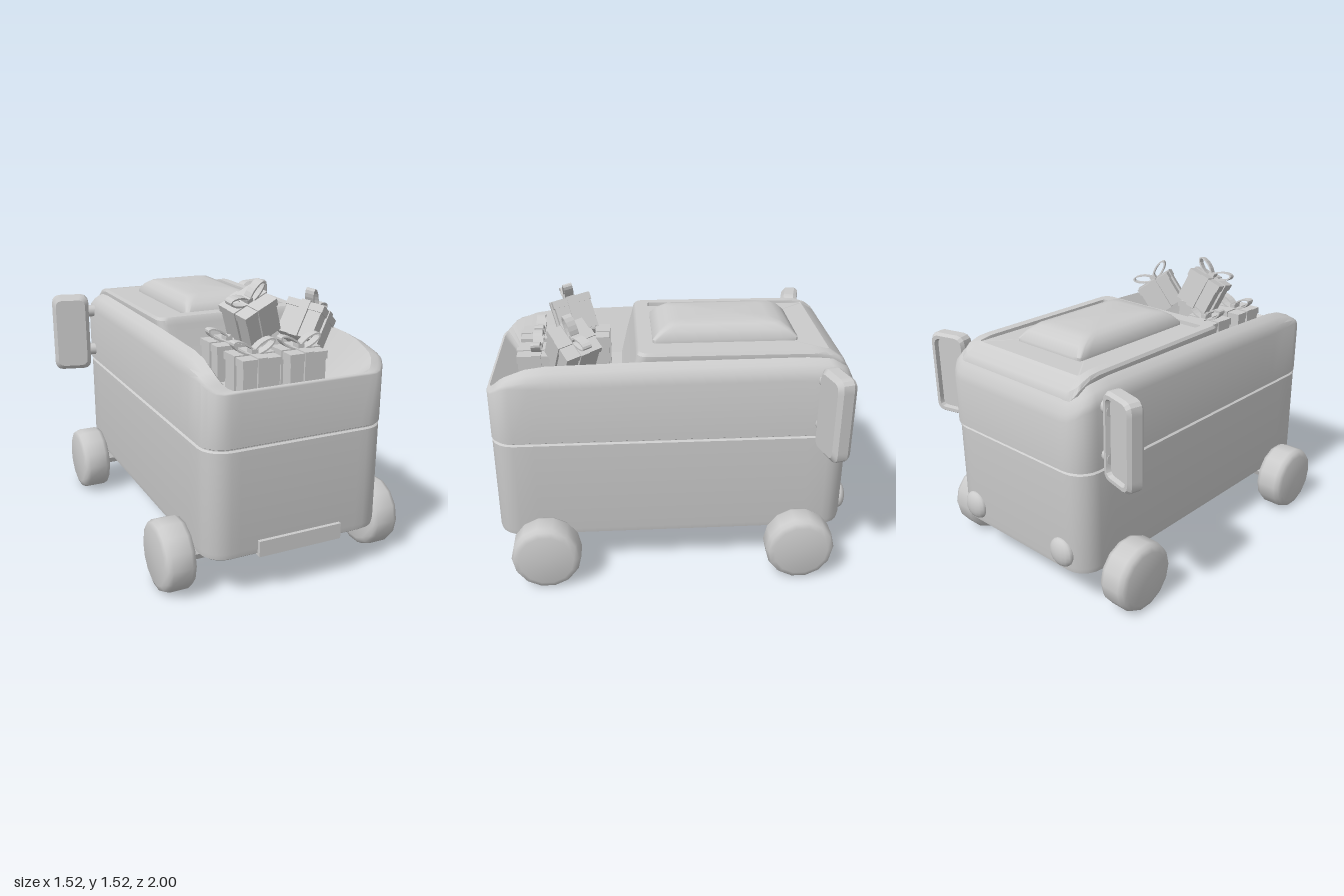
import * as THREE from 'three';
import { toCreasedNormals } from 'three/addons/utils/BufferGeometryUtils.js';

const material = new THREE.MeshStandardMaterial({ color: 0xcccccc, side: THREE.DoubleSide });

function add(parent, name, geometry, x = 0, y = 0, z = 0) {
  const mesh = new THREE.Mesh(geometry, material);
  mesh.name = name;
  mesh.position.set(x, y, z);
  parent.add(mesh);
  return mesh;
}

// Rounded rectangle in plan; y is a number or a function of z
function ring(hx, z0, z1, r, y, seg = 5) {
  const corners = [[hx - r, z1 - r], [r - hx, z1 - r], [r - hx, z0 + r], [hx - r, z0 + r]];
  const arcs = corners.map(([cx, cz], c) => Array.from({ length: seg + 1 }, (_, i) => {
    const a = (c + i / seg) * Math.PI / 2;
    return [cx + r * Math.cos(a), cz + r * Math.sin(a)];
  }));
  const flat = [];
  const side = 16;
  arcs.forEach((arc, c) => {
    flat.push(...arc);
    const p = arc[seg], q = arcs[(c + 1) % 4][0];
    for (let i = 1; i < side; i++) {
      const t = i / side;
      flat.push([p[0] + (q[0] - p[0]) * t, p[1] + (q[1] - p[1]) * t]);
    }
  });
  return flat.map(([x, z]) => [x, typeof y === 'function' ? y(z) : y, z]);
}

// Skin a stack of rings and close both ends
function loft(rings, crease = 0.55) {
  const n = rings[0].length, last = (rings.length - 1) * n;
  const points = rings.flat(), index = [];
  const middle = (r) => [0, 1, 2].map((k) => r.reduce((s, p) => s + p[k], 0) / n);
  points.push(middle(rings[0]), middle(rings[rings.length - 1]));
  for (let j = 0; j < rings.length - 1; j++) {
    for (let i = 0; i < n; i++) {
      const a = j * n + i, b = j * n + (i + 1) % n;
      index.push(a, a + n, b, b, a + n, b + n);
    }
  }
  for (let i = 0; i < n; i++) {
    const k = (i + 1) % n;
    index.push(points.length - 2, i, k, points.length - 1, last + k, last + i);
  }
  const g = new THREE.BufferGeometry();
  g.setAttribute('position', new THREE.Float32BufferAttribute(points.flat(), 3));
  g.setIndex(index);
  return toCreasedNormals(g, crease);
}

// Height along the length, interpolated between [z, y] pairs
const along = (pairs) => (z) => {
  const i = pairs.findIndex((p) => p[0] >= z);
  if (i < 0) return pairs[pairs.length - 1][1];
  if (i === 0) return pairs[0][1];
  const [a, b] = [pairs[i - 1], pairs[i]];
  return a[1] + (b[1] - a[1]) * (z - a[0]) / (b[0] - a[0]);
};

// Wrapped box with crossing ribbons and a two-loop bow
function gift(w, h) {
  const g = new THREE.Group();
  g.name = 'gift';
  add(g, 'giftBox', new THREE.BoxGeometry(w, h, w));
  add(g, 'giftLid', new THREE.BoxGeometry(w + 0.012, 0.04, w + 0.012), 0, h / 2 - 0.02);
  add(g, 'ribbon', new THREE.BoxGeometry(0.05, h + 0.012, w + 0.024));
  add(g, 'ribbon', new THREE.BoxGeometry(w + 0.024, h + 0.012, 0.05));
  const loop = new THREE.Shape().absellipse(0.065, 0, 0.065, 0.027, 0, Math.PI * 2);
  loop.holes.push(new THREE.Path().absellipse(0.065, 0, 0.056, 0.018, 0, Math.PI * 2, true));
  const bow = new THREE.ExtrudeGeometry(loop, { depth: 0.05, bevelEnabled: false, curveSegments: 8 });
  bow.translate(0, 0, -0.025);
  for (const angle of [0.5, Math.PI - 0.5]) {
    add(g, 'bowLoop', bow, 0, h / 2 + 0.005).rotation.z = angle;
  }
  add(g, 'bowKnot', new THREE.BoxGeometry(0.035, 0.025, 0.055), 0, h / 2 + 0.015);
  return g;
}

export function createModel() {
  const model = new THREE.Group();
  model.name = 'giftCart';

  // Lower body with a groove under the upper body
  add(model, 'lowerBody', loft([
    ring(0.48, -0.935, 0.955, 0.1, 0.228),
    ring(0.5, -0.955, 0.975, 0.12, 0.242),
    ring(0.505, -0.96, 0.98, 0.125, 0.27),
    ring(0.505, -0.96, 0.98, 0.125, 0.802),
    ring(0.495, -0.95, 0.97, 0.115, 0.81),
    ring(0.495, -0.95, 0.97, 0.115, 0.83),
  ]));

  // Upper body: outer wall, rounded shoulder, sloping cargo basin
  const rim = along([[-0.97, 1.14], [-0.92, 1.2], [-0.84, 1.235], [-0.7, 1.245], [0.19, 1.24],
    [0.7, 1.228], [0.82, 1.205], [0.9, 1.165], [0.965, 1.1]]);
  const drop = along([[-0.97, 0.06], [-0.8, 0.1], [0.7, 0.1], [0.965, 0.012]]);
  const shoulder = (k) => (z) => rim(z) - k * drop(z);
  add(model, 'upperBody', loft([
    ring(0.495, -0.95, 0.97, 0.115, 0.815),
    ring(0.507, -0.97, 0.982, 0.125, 0.822),
    ring(0.507, -0.97, 0.982, 0.125, shoulder(1)),
    ring(0.497, -0.96, 0.981, 0.12, shoulder(0.6)),
    ring(0.473, -0.94, 0.978, 0.11, shoulder(0.25)),
    ring(0.43, -0.9, 0.968, 0.09, shoulder(0)),
    ring(0.29, -0.8, 0.86, 0.05, 1.0),
  ], 0.7));

  // Roof block with a shallow sunken panel
  const roofEdge = along([[-0.94, 1.17], [-0.9, 1.225], [-0.85, 1.26], [-0.78, 1.278], [0.19, 1.283]]);
  add(model, 'roof', loft([
    ring(0.38, -0.85, 0.27, 0.03, 0.99),
    ring(0.43, -0.93, 0.195, 0.05, (z) => roofEdge(z) - 0.04),
    ring(0.43, -0.93, 0.19, 0.05, (z) => roofEdge(z) - 0.015),
    ring(0.42, -0.91, 0.18, 0.05, roofEdge),
    ring(0.37, -0.83, 0.105, 0.012, roofEdge),
    ring(0.368, -0.828, 0.103, 0.012, 1.262),
  ]));
  add(model, 'roofBubble', loft([
    ring(0.235, -0.69, 0.1, 0.02, 1.255),
    ring(0.235, -0.69, 0.1, 0.02, 1.278),
    ring(0.215, -0.65, 0.06, 0.03, 1.318),
    ring(0.185, -0.6, 0.015, 0.04, 1.347),
    ring(0.14, -0.54, -0.05, 0.05, 1.356),
  ], 0.8));

  add(model, 'frontPlate', new THREE.BoxGeometry(0.47, 0.085, 0.05), 0, 0.272, 0.975);

  // Axles and wheels
  const tread = [[0, -0.085], [0.15, -0.085], [0.178, -0.075], [0.19, -0.05],
    [0.19, 0.05], [0.178, 0.075], [0.15, 0.085], [0, 0.085]].map(([x, y]) => new THREE.Vector2(x, y));
  const wheel = toCreasedNormals(new THREE.LatheGeometry(tread, 14).rotateZ(Math.PI / 2), 0.9);
  const axle = toCreasedNormals(new THREE.CylinderGeometry(0.05, 0.05, 1.06, 8).rotateZ(Math.PI / 2), 0.5);
  for (const z of [0.71, -0.69]) {
    add(model, 'axle', axle, 0, 0.178, z);
    for (const s of [-1, 1]) add(model, 'wheel', wheel, s * 0.6, 0.19, z);
  }

  // Mirrors on two short arms, and round lamps
  const mirror = loft([
    ring(0.09, -0.21, 0.21, 0.035, -0.05, 3),
    ring(0.112, -0.235, 0.235, 0.045, -0.028, 3),
    ring(0.112, -0.235, 0.235, 0.045, 0.03, 3),
    ring(0.1, -0.222, 0.222, 0.04, 0.05, 3),
    ring(0.082, -0.203, 0.203, 0.03, 0.05, 3),
    ring(0.077, -0.198, 0.198, 0.03, 0.025, 3),
  ], 0.4).rotateX(-Math.PI / 2);
  const arm = new THREE.CylinderGeometry(0.036, 0.036, 0.12, 10).rotateZ(Math.PI / 2);
  const lamp = new THREE.SphereGeometry(0.08, 16, 10).scale(1, 1, 0.5);
  for (const s of [-1, 1]) {
    add(model, 'mirror', mirror, s * 0.645, 1.01, -0.815).rotation.y = s * 0.25;
    for (const y of [0.89, 1.14]) add(model, 'mirrorArm', arm, s * 0.51, y, -0.79).rotation.y = s * 0.25;
    add(model, 'lamp', lamp, s * 0.345, 0.34, -0.96);
  }

  // Gifts: position, then rotation
  const gifts = [
    [-0.15, 1.1, 0.73, 0, 0, 0],
    [0.11, 1.1, 0.73, 0, 0, 0],
    [-0.15, 1.1, 0.44, 0, 0, 0],
    [-0.06, 1.33, 0.53, 0.2, 0.25, 0.36],
    [0.27, 1.255, 0.53, 0.15, 0.55, -0.66],
  ];
  for (const [x, y, z, rx, ry, rz] of gifts) {
    const g = gift(0.2, 0.19);
    g.position.set(x, y, z);
    g.rotation.set(rx, ry, rz);
    model.add(g);
  }
  return model;
}
